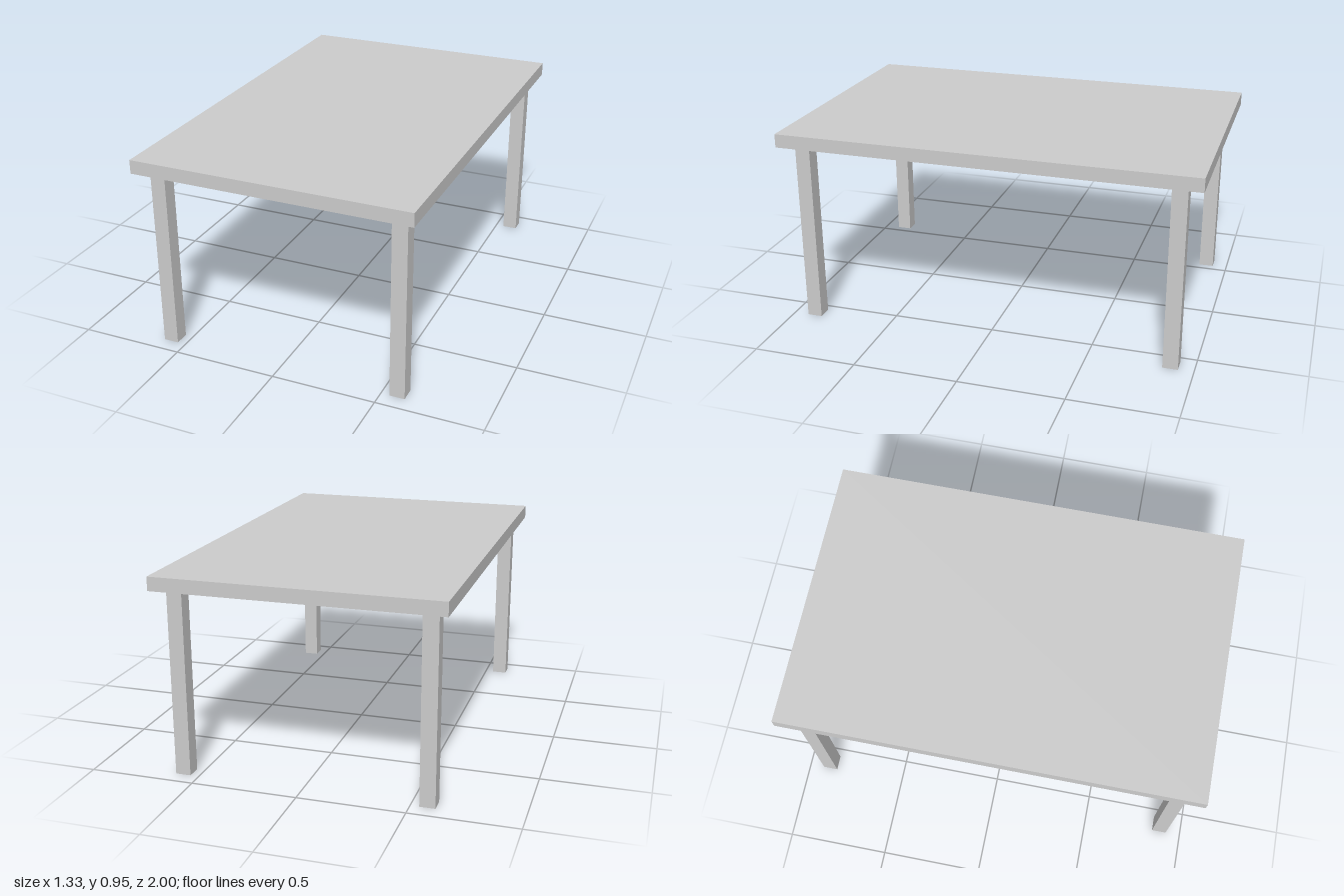
import * as THREE from 'three';

const TOP_Y = 0.955, LEG_HEIGHT = 0.89, LEG_SIZE = 0.072;

export function createModel() {
  const model = new THREE.Group();
  model.name = 'table';
  const material = new THREE.MeshStandardMaterial({ color: 0xcccccc });

  // Rectangular slab, long side along z
  const thickness = TOP_Y - LEG_HEIGHT;
  const top = new THREE.Mesh(new THREE.BoxGeometry(1.33, thickness, 2), material);
  top.name = 'tableTop';
  top.position.y = LEG_HEIGHT + thickness / 2;
  model.add(top);

  // Four square legs, set in from the corners
  const legGeometry = new THREE.BoxGeometry(LEG_SIZE, LEG_HEIGHT, LEG_SIZE);
  for (const [endName, zSide] of [['front', 1], ['back', -1]]) {
    for (const [sideName, xSide] of [['Left', 1], ['Right', -1]]) {
      const leg = new THREE.Mesh(legGeometry, material);
      leg.name = `${endName}${sideName}Leg`;
      leg.position.set(xSide * 0.577, LEG_HEIGHT / 2, zSide * 0.891);
      model.add(leg);
    }
  }
  return model;
}
